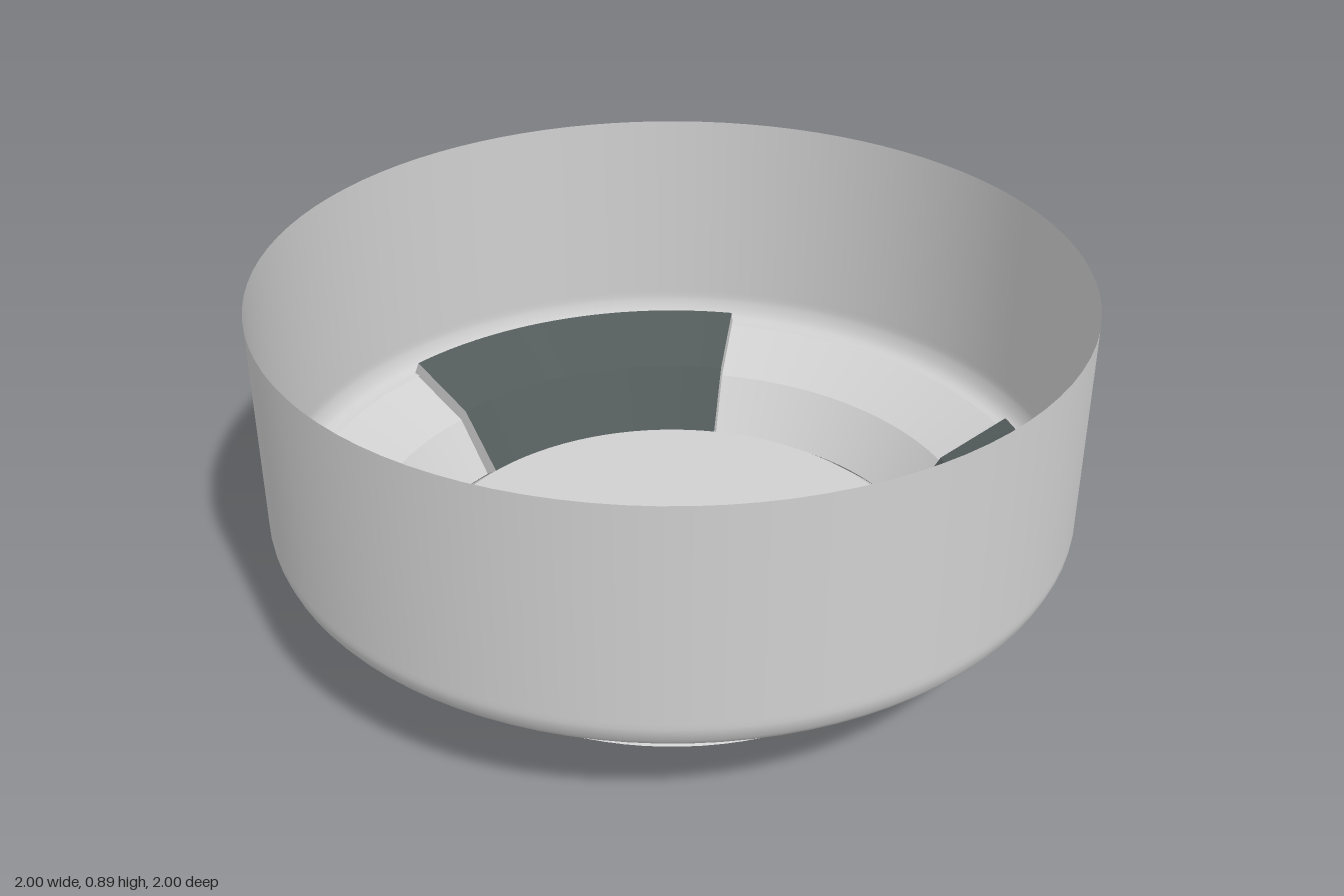
import * as THREE from 'three';
import { mergeGeometries } from 'three/addons/utils/BufferGeometryUtils.js';

const deg = THREE.MathUtils.degToRad;
const SPAN = deg(60);

// Lathe with a hard edge at every profile point
function facetedLathe(profile, segments, start = 0, length = Math.PI * 2) {
  const bands = [];
  for (let i = 0; i < profile.length - 1; i++) {
    const pts = [profile[i], profile[i + 1]].map(([r, y]) => new THREE.Vector2(r, y));
    bands.push(new THREE.LatheGeometry(pts, segments, start, length));
  }
  return mergeGeometries(bands);
}

export function createModel() {
  const group = new THREE.Group();
  const casing = new THREE.MeshStandardMaterial({ color: 0xd0d0d0, side: THREE.DoubleSide });
  casing.name = 'casing grey';
  const dark = new THREE.MeshStandardMaterial({ color: 0x525a5a, side: THREE.DoubleSide });
  dark.name = 'vent dark grey';

  const add = (name, geometry, material, parent = group) => {
    const mesh = new THREE.Mesh(geometry, material);
    mesh.name = name;
    parent.add(mesh);
    return mesh;
  };

  // Open drum wall with a rounded lower edge
  const wall = [[0.945, 0.282], [0.962, 0.284], [0.978, 0.291], [0.99, 0.308], [0.998, 0.33], [1, 0.345], [1, 0.36], [1, 0.895]];
  add('drumWall', new THREE.LatheGeometry(wall.map(([r, y]) => new THREE.Vector2(r, y)), 96), casing);

  // Solid base disc with a bevelled rim
  add('baseDisc', facetedLathe([[0, 0.005], [0.65, 0.005], [0.7, 0.045], [0.65, 0.085], [0, 0.085]], 96), casing);

  // Alternating funnel panels and recessed vents
  const outer = [[0.685, 0.06], [0.78, 0.2], [0.962, 0.284]];
  const inner = [[0.65, 0.085], [0.76, 0.235], [0.945, 0.322]];
  const endShape = new THREE.Shape([...outer, ...[...inner].reverse()].map(([r, y]) => new THREE.Vector2(r, y)));

  for (let i = 0; i < 3; i++) {
    const start = deg(24.5 + 120 * i);
    const vent = new THREE.Group();
    vent.name = 'vent';
    group.add(vent);
    add('ventRecess', facetedLathe(inner, 24, start, SPAN), dark, vent);
    add('ventOuterLip', facetedLathe([[0.945, 0.282], [0.945, 0.322]], 24, start, SPAN), casing, vent);
    for (const phi of [start, start + SPAN]) {
      add('ventEndWall', new THREE.ShapeGeometry(endShape), casing, vent).rotation.y = phi - Math.PI / 2;
    }
    add('funnelPanel', facetedLathe(outer, 24, start + SPAN, SPAN), casing);
  }

  // Small indicator dome under the funnel
  const indicator = new THREE.Group();
  indicator.name = 'indicator';
  indicator.position.set(-0.795, 0.256, -0.395);
  indicator.rotation.y = Math.atan2(0.395, -0.795);
  const tilt = new THREE.Group();
  tilt.name = 'indicatorTilt';
  tilt.rotation.z = Math.atan2(0.084, 0.182);
  indicator.add(tilt);
  add('indicatorDome', new THREE.SphereGeometry(0.055, 24, 10, 0, Math.PI * 2, Math.PI / 2, Math.PI / 2), casing, tilt);
  add('indicatorCap', new THREE.CircleGeometry(0.055, 24).rotateX(-Math.PI / 2), casing, tilt);
  group.add(indicator);

  group.position.y = -0.005;
  return group;
}
